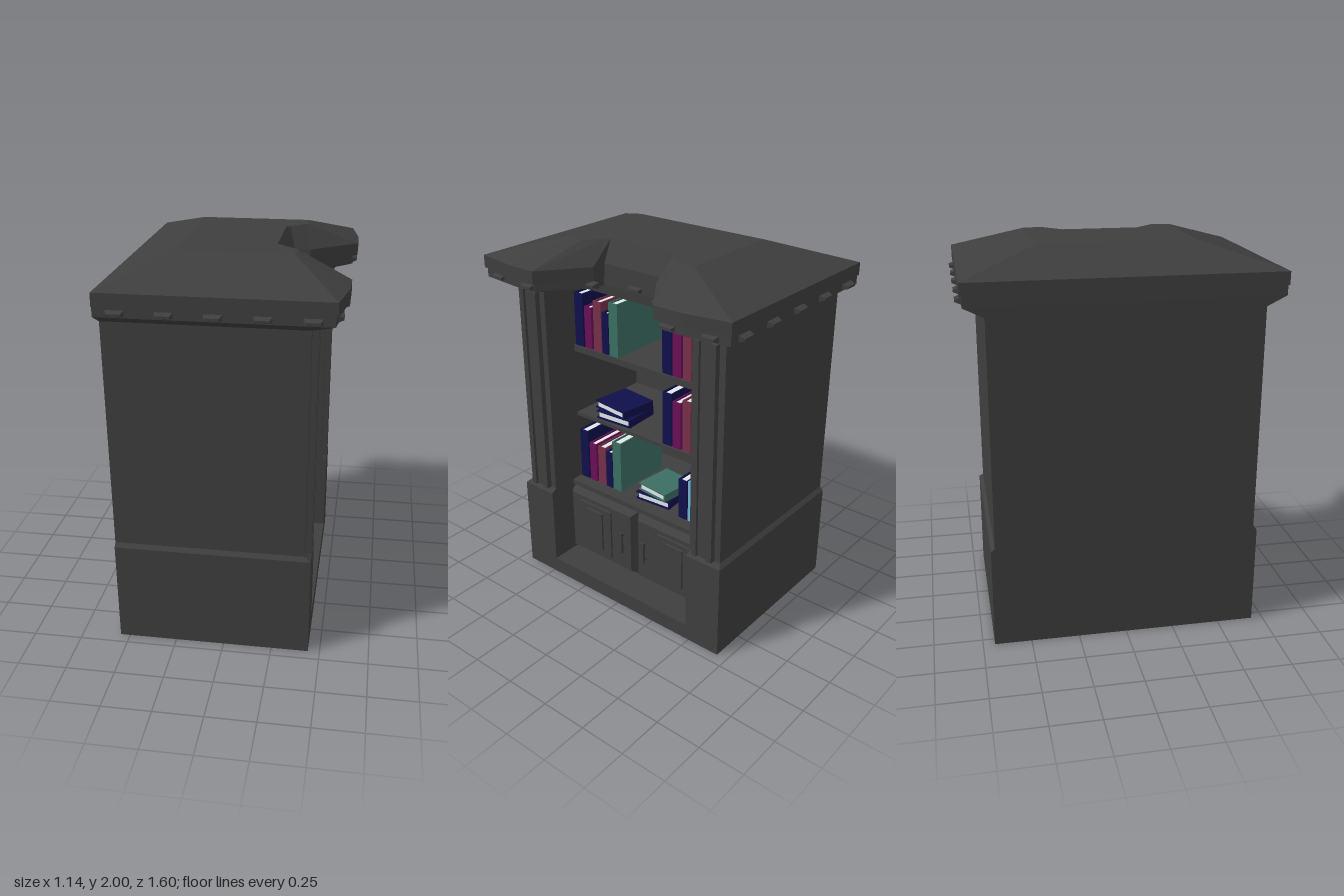
import * as THREE from 'three';

const colours = {
  charcoal: 0x3e3e3e, navy: 0x10104c, magenta: 0x6a1058, maroon: 0x77304a,
  teal: 0x3b6e63, skyBlue: 0x70b8dc, page: 0xe6eeee,
};
const mats = {};
for (const [name, hex] of Object.entries(colours)) {
  mats[name] = new THREE.MeshStandardMaterial({ color: hex });
  mats[name].name = name;
}

function add(parent, name, geo, mat = 'charcoal') {
  const mesh = new THREE.Mesh(geo, mats[mat]);
  mesh.name = name;
  parent.add(mesh);
  return mesh;
}

// Box given by its limits on each axis
function box(parent, name, x0, x1, y0, y1, z0, z1, mat) {
  const m = add(parent, name, new THREE.BoxGeometry(x1 - x0, y1 - y0, Math.abs(z1 - z0)), mat);
  m.position.set((x0 + x1) / 2, (y0 + y1) / 2, (z0 + z1) / 2);
  return m;
}

// Flat-faced solid through horizontal rings [y, [[x, z], ...]], counter-clockwise from above
function loft(rings) {
  const pos = [];
  const n = rings[0][1].length;
  const put = (r, i) => pos.push(rings[r][1][i % n][0], rings[r][0], rings[r][1][i % n][1]);
  for (let r = 0; r < rings.length - 1; r++) {
    for (let i = 0; i < n; i++) {
      put(r, i); put(r, i + 1); put(r + 1, i + 1);
      put(r, i); put(r + 1, i + 1); put(r + 1, i);
    }
  }
  const cap = (r, flip) => {
    const pts = rings[r][1].map(([x, z]) => new THREE.Vector2(x, -z));
    for (const [a, b, c] of THREE.ShapeUtils.triangulateShape(pts, [])) {
      for (const i of flip ? [a, c, b] : [a, b, c]) put(r, i);
    }
  };
  cap(0, true);
  cap(rings.length - 1, false);
  const g = new THREE.BufferGeometry();
  g.setAttribute('position', new THREE.Float32BufferAttribute(pos, 3));
  g.computeVertexNormals();
  return g;
}

const mirror = (half) => [...half, ...half.map(([x, z]) => [x, -z]).reverse()];
const rect = (x0, x1, z0, z1) => [[x0, z1], [x1, z1], [x1, z0], [x0, z0]];

// Block standing out along +x whose outer face is smaller than its base
function bevelBlock(depth, h, w, inset) {
  const g = new THREE.BoxGeometry(depth, h, w).toNonIndexed();
  const p = g.attributes.position;
  for (let i = 0; i < p.count; i++) {
    if (p.getX(i) > 0) {
      p.setY(i, p.getY(i) * (1 - 2 * inset / h));
      p.setZ(i, p.getZ(i) * (1 - 2 * inset / w));
    }
  }
  g.computeVertexNormals();
  return g;
}

// Book with two covers, a spine at +x and an inset page block
function book(parent, w, h, d, mat) {
  const b = new THREE.Group();
  b.name = 'book';
  parent.add(b);
  const t = 0.007;
  box(b, 'cover', -d, 0, 0, h, w / 2 - t, w / 2, mat);
  box(b, 'cover', -d, 0, 0, h, -w / 2, -w / 2 + t, mat);
  box(b, 'spine', -t, 0, 0, h, -w / 2 + t, w / 2 - t, mat);
  box(b, 'pages', -d + 0.01, -t, 0.008, h - 0.01, -w / 2 + t, w / 2 - t, 'page');
  return b;
}

export function createModel() {
  const model = new THREE.Group();
  model.name = 'bookcase';

  // Plinth and lower cabinet
  box(model, 'plinth', -0.54, 0.44, 0, 0.09, -0.688, 0.688);
  box(model, 'cabinet', -0.53, 0.25, 0.09, 0.52, -0.485, 0.485);
  box(model, 'counter', -0.53, 0.27, 0.52, 0.548, -0.485, 0.485);

  // Side walls: base blocks with a bevelled top, upper walls and fluted pilasters
  for (const s of [1, -1]) {
    const z = (a, b) => (s > 0 ? [a, b] : [-b, -a]);
    add(model, 'sideBase', loft([
      [0, rect(-0.545, 0.44, ...z(0.48, 0.69))],
      [0.53, rect(-0.545, 0.44, ...z(0.48, 0.69))],
      [0.55, rect(-0.545, 0.41, ...z(0.48, 0.67))],
    ]));
    box(model, 'sideWall', -0.54, 0.41, 0.55, 1.73, ...z(0.48, 0.67));
    box(model, 'pilasterEdge', 0.41, 0.44, 0.55, 1.715, ...z(0.515, 0.54));
    box(model, 'pilasterEdge', 0.41, 0.44, 0.55, 1.715, ...z(0.605, 0.635));
    box(model, 'pilasterCentre', 0.41, 0.425, 0.55, 1.715, ...z(0.54, 0.605));
  }

  // Back panel, leaning outward slightly towards the top
  const outline = [[0.69, 0], [0.69, 0.53], [0.67, 0.55], [0.67, 1.72], [0.77, 1.77]];
  const shape = new THREE.Shape(mirror(outline.map(([a, b]) => [b, a]))
    .map(([y, z]) => new THREE.Vector2(z, y)));
  const back = new THREE.ExtrudeGeometry(shape, { depth: 0.03, bevelEnabled: false });
  back.rotateY(-Math.PI / 2).translate(-0.52, 0, 0);
  const bp = back.attributes.position;
  for (let i = 0; i < bp.count; i++) bp.setX(i, bp.getX(i) - 0.02 * bp.getY(i) / 1.77);
  back.computeVertexNormals();
  add(model, 'backPanel', back);
  box(model, 'innerBack', -0.32, -0.3, 0.548, 1.73, -0.48, 0.48);

  // Shelves
  box(model, 'shelf', -0.3, 0.21, 0.94, 0.96, -0.48, 0.48);
  box(model, 'shelf', -0.3, 0.21, 1.33, 1.365, -0.48, 0.48);

  // Doors with stepped panels and handles
  for (const s of [1, -1]) {
    const door = new THREE.Group();
    door.name = s > 0 ? 'leftDoor' : 'rightDoor';
    door.position.set(0.25, 0.3, s * 0.248);
    model.add(door);
    add(door, 'doorLeaf', bevelBlock(0.04, 0.41, 0.49, 0.025)).position.x = 0.02;
    add(door, 'doorPanel', bevelBlock(0.008, 0.31, 0.24, 0.003)).position.set(0.044, 0, s * 0.04);
    add(door, 'doorInset', bevelBlock(0.008, 0.25, 0.12, 0.003)).position.set(0.052, 0, s * 0.04);
    box(door, 'handle', 0.055, 0.07, -0.065, 0.065, -s * 0.168 - 0.009, -s * 0.168 + 0.009);
    for (const y of [-0.05, 0.04]) {
      box(door, 'handlePost', 0.038, 0.056, y, y + 0.01, -s * 0.168 - 0.006, -s * 0.168 + 0.006);
    }
  }

  // Cornice and hipped roof, both with a notch over the shelves
  const eave = mirror([[-0.57, 0.78], [0.53, 0.78], [0.57, 0.54], [0.57, 0.385], [0.33, 0.2], [0.25, 0.2]]);
  const neck = mirror([[-0.569, 0.67], [0.41, 0.67], [0.42, 0.6], [0.42, 0.48], [0.24, 0.48], [0.24, 0.2]]);
  const lip = mirror([[-0.57, 0.77], [0.52, 0.77], [0.545, 0.54], [0.545, 0.4], [0.32, 0.215], [0.245, 0.21]]);
  const ridge = mirror([[-0.27, 0.4], [0.3, 0.4], [0.305, 0.38], [0.305, 0.3], [0.22, 0.22], [0.2, 0.2]]);
  add(model, 'cornice', loft([[1.72, neck], [1.77, lip], [1.825, lip]]));
  add(model, 'roof', loft([[1.82, eave], [1.885, eave], [2, ridge]]));

  // Small tapered blocks around the cornice
  const dentil = bevelBlock(0.035, 0.035, 0.09, 0.012);
  const frontX = [0.25, 0.335, 0.55, 0.535];
  for (let i = -3; i <= 3; i++) {
    add(model, 'dentil', dentil).position.set(frontX[Math.abs(i)], 1.79, i * 0.223);
  }
  for (const s of [1, -1]) {
    for (let i = 0; i < 5; i++) {
      const d = add(model, 'dentil', dentil);
      d.position.set(-0.465 + i * 0.222, 1.79, s * 0.782);
      d.rotation.y = -s * Math.PI / 2;
    }
  }

  // Upright books: shelf height, then [colour, z from, z to, top]
  const rows = [
    [1.365, [['navy', 0.475, 0.415, 1.665], ['magenta', 0.405, 0.355, 1.6], ['maroon', 0.34, 0.285, 1.645],
      ['navy', 0.28, 0.235, 1.595], ['teal', 0.23, 0.17, 1.66], ['navy', -0.13, -0.19, 1.66],
      ['magenta', -0.197, -0.25, 1.62], ['maroon', -0.263, -0.315, 1.64], ['navy', -0.32, -0.365, 1.59],
      ['teal', -0.373, -0.425, 1.66], ['skyBlue', -0.43, -0.475, 1.645]]],
    [0.96, [['navy', -0.13, -0.19, 1.26], ['magenta', -0.197, -0.25, 1.225], ['maroon', -0.263, -0.315, 1.25],
      ['navy', -0.32, -0.365, 1.19], ['teal', -0.373, -0.425, 1.26], ['skyBlue', -0.43, -0.475, 1.24]]],
    [0.548, [['navy', 0.475, 0.415, 0.85], ['magenta', 0.405, 0.355, 0.785], ['maroon', 0.34, 0.285, 0.785],
      ['navy', 0.28, 0.235, 0.77], ['teal', 0.23, 0.17, 0.85], ['navy', -0.24, -0.295, 0.785],
      ['skyBlue', -0.303, -0.36, 0.79], ['navy', -0.365, -0.41, 0.77], ['navy', -0.415, -0.475, 0.85]]],
  ];
  for (const [y, list] of rows) {
    for (const [mat, z0, z1, top] of list) {
      book(model, z0 - z1, top - y, 0.36, mat).position.set(0.2, y, (z0 + z1) / 2);
    }
  }

  // Books lying flat: [colour, y, centre z, length, turn]
  const lying = [
    ['navy', 0.96, 0.235, 0.23, 0.06], ['navy', 1.01, 0.24, 0.23, -0.12],
    ['navy', 0.548, -0.04, 0.22, 0.08], ['teal', 0.598, -0.055, 0.2, -0.1],
  ];
  for (const [mat, y, z, len, turn] of lying) {
    const holder = new THREE.Group();
    holder.name = 'lyingBook';
    holder.position.set(0.08, y, z);
    holder.rotation.y = Math.PI / 2 + turn;
    model.add(holder);
    const b = book(holder, 0.046, 0.22, len, mat);
    b.rotation.x = Math.PI / 2;
    b.position.set(len / 2, 0.023, -0.11);
  }
  return model;
}
